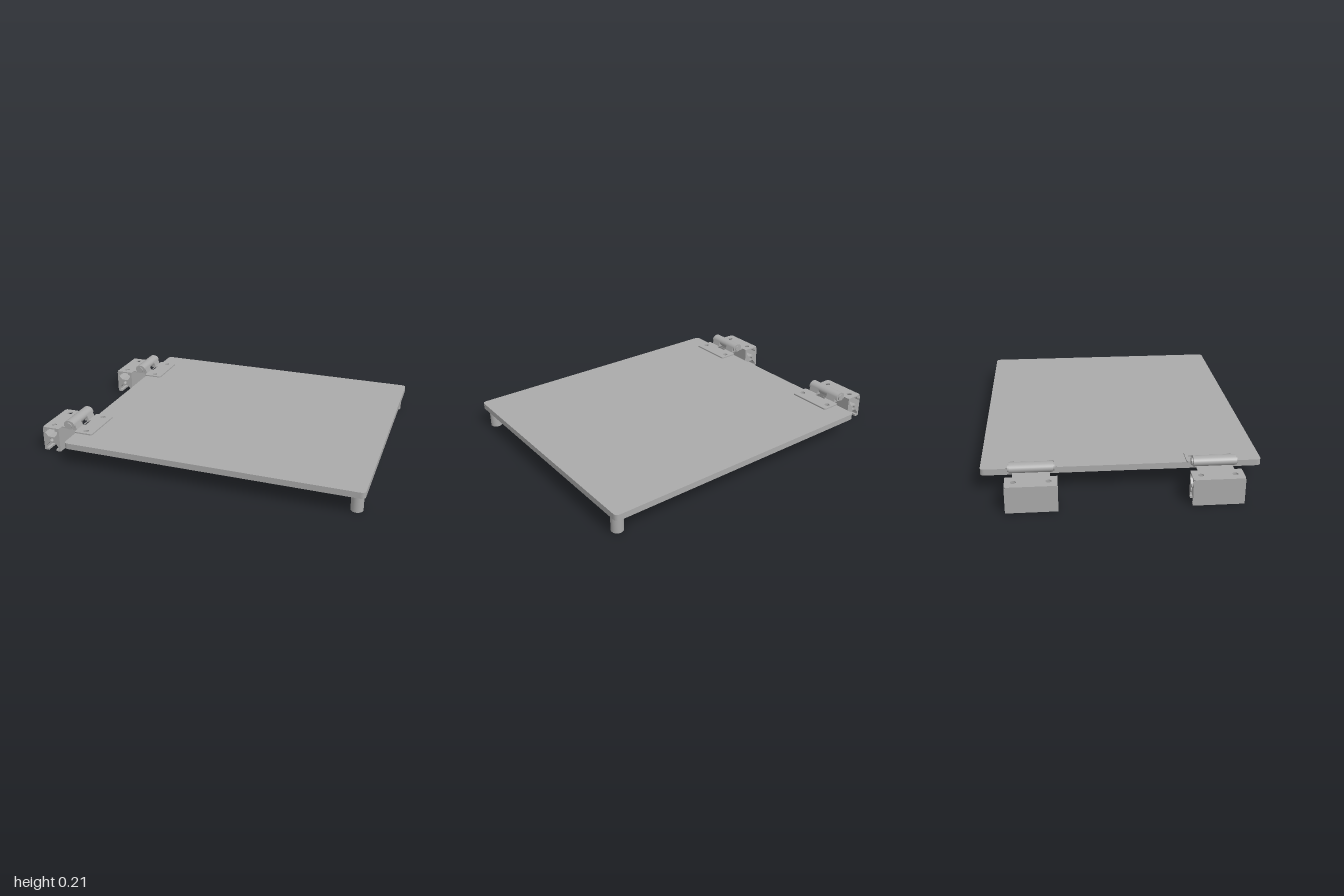
import * as THREE from 'three';

const grey = new THREE.MeshStandardMaterial({ color: 0xaaaaaa });
grey.name = 'grey metal';

function add(parent, name, geometry, x = 0, y = 0, z = 0) {
  const mesh = new THREE.Mesh(geometry, grey);
  mesh.name = name;
  mesh.position.set(x, y, z);
  parent.add(mesh);
  return mesh;
}

const polygon = (points) => new THREE.Shape(points.map(([x, y]) => new THREE.Vector2(x, y)));

// Rectangle with cut or rounded corners; radii in order: left side, right side
function plateShape(x0, x1, z0, z1, rl, rr = rl) {
  const s = new THREE.Shape();
  s.moveTo(x0 + rl, z0);
  s.lineTo(x1 - rr, z0);
  s.quadraticCurveTo(x1, z0, x1, z0 + rr);
  s.lineTo(x1, z1 - rr);
  s.quadraticCurveTo(x1, z1, x1 - rr, z1);
  s.lineTo(x0 + rl, z1);
  s.quadraticCurveTo(x0, z1, x0, z1 - rl);
  s.lineTo(x0, z0 + rl);
  s.quadraticCurveTo(x0, z0, x0 + rl, z0);
  return s;
}

function drill(shape, x, y, r) {
  const hole = new THREE.Path();
  hole.absarc(x, y, r, 0, Math.PI * 2, true);
  shape.holes.push(hole);
}

// Flat plate lying in the xz plane, growing upward
function flat(shape, thickness) {
  return new THREE.ExtrudeGeometry(shape, { depth: thickness, bevelEnabled: false, curveSegments: 10 })
    .rotateX(-Math.PI / 2);
}

// Short slotted rail, open at top and bottom, with a bore through its web
function railGeometry(length) {
  const right = [
    [0.055, 0], [0.055, 0.145], [0.026, 0.145], [0.026, 0.132], [0.042, 0.132],
    [0.042, 0.117], [0.02, 0.092],
  ];
  const lower = [[0.02, 0.053], [0.042, 0.028], [0.042, 0.013], [0.026, 0.013], [0.026, 0]];
  const mirror = (list) => list.map(([x, y]) => [-x, y]);
  const outline = [
    ...right, ...mirror(right).reverse(), ...mirror(lower).reverse(), ...lower,
  ];
  const shape = polygon(outline);
  drill(shape, 0, 0.0725, 0.012);
  return new THREE.ExtrudeGeometry(shape, { depth: length, bevelEnabled: false, curveSegments: 10 })
    .translate(0, 0, -length / 2);
}

function makeHinge() {
  const hinge = new THREE.Group();
  add(hinge, 'rail', railGeometry(0.28), -0.945);

  // Leaf on the rail, with a narrower neck toward the barrel
  const railLeaf = polygon([
    [-1, -0.132], [-0.992, -0.14], [-0.89, -0.14], [-0.89, -0.1], [-0.84, -0.1],
    [-0.84, 0.1], [-0.89, 0.1], [-0.89, 0.14], [-0.992, 0.14], [-1, 0.132],
  ]);
  for (const z of [-0.093, 0.093]) drill(railLeaf, -0.945, z, 0.016);
  add(hinge, 'railLeaf', flat(railLeaf, 0.008), 0, 0.145);

  // Leaf on the panel, with a relief slot beside the barrel
  const panelLeaf = plateShape(-0.783, -0.665, -0.14, 0.14, 0.015);
  for (const z of [-0.107, 0.107]) drill(panelLeaf, -0.72, z, 0.016);
  const slot = new THREE.Path(plateShape(-0.781, -0.765, -0.038, 0.038, 0.005).getPoints().reverse());
  panelLeaf.holes.push(slot);
  add(hinge, 'panelLeaf', flat(panelLeaf, 0.008), 0, 0.145);

  // Curled flank joining the panel leaf to the barrel
  const curl = polygon([[-0.782, 0.145], [-0.782, 0.153], [-0.793, 0.185], [-0.815, 0.185], [-0.81, 0.147]]);
  for (const side of [-1, 1]) {
    const strip = new THREE.ExtrudeGeometry(curl, { depth: 0.07, bevelEnabled: false }).translate(0, 0, -0.035);
    add(hinge, 'leafCurl', strip, 0, 0, side * 0.073);
  }

  // Barrel and pin
  const barrel = new THREE.CylinderGeometry(1, 1, 0.236, 24).rotateX(Math.PI / 2).scale(0.036, 0.028, 1);
  add(hinge, 'barrel', barrel, -0.828, 0.179);
  const pin = new THREE.CylinderGeometry(0.02, 0.02, 0.252, 16).rotateX(Math.PI / 2);
  add(hinge, 'hingePin', pin, -0.828, 0.176);
  return hinge;
}

export function createModel() {
  const model = new THREE.Group();
  model.name = 'hingedPanel';

  // Panel with screw holes under the hinges
  const panel = plateShape(-0.775, 0.997, -0.777, 0.777, 0.028);
  for (const c of [-0.497, 0.497]) {
    for (const d of [-0.107, 0.107]) drill(panel, -0.72, c + d, 0.015);
  }
  add(model, 'panel', flat(panel, 0.036), 0, 0.109);

  // Hinges on the right-hand edge
  for (const z of [-0.497, 0.497]) {
    const hinge = makeHinge();
    hinge.name = z > 0 ? 'frontHinge' : 'backHinge';
    hinge.position.z = z;
    model.add(hinge);
  }

  // Feet with a blind hole underneath
  const footParts = [
    [[0, 0.05], [0.016, 0.05]],
    [[0.016, 0.05], [0.016, 0]],
    [[0.016, 0], [0.035, 0]],
    [[0.035, 0], [0.035, 0.11]],
  ];
  for (const z of [-0.707, 0.707]) {
    const foot = new THREE.Group();
    foot.name = z > 0 ? 'frontFoot' : 'backFoot';
    foot.position.set(0.948, 0, z);
    for (const part of footParts) {
      const points = part.map(([x, y]) => new THREE.Vector2(x, y));
      add(foot, 'footSurface', new THREE.LatheGeometry(points, 24));
    }
    model.add(foot);
  }
  return model;
}
